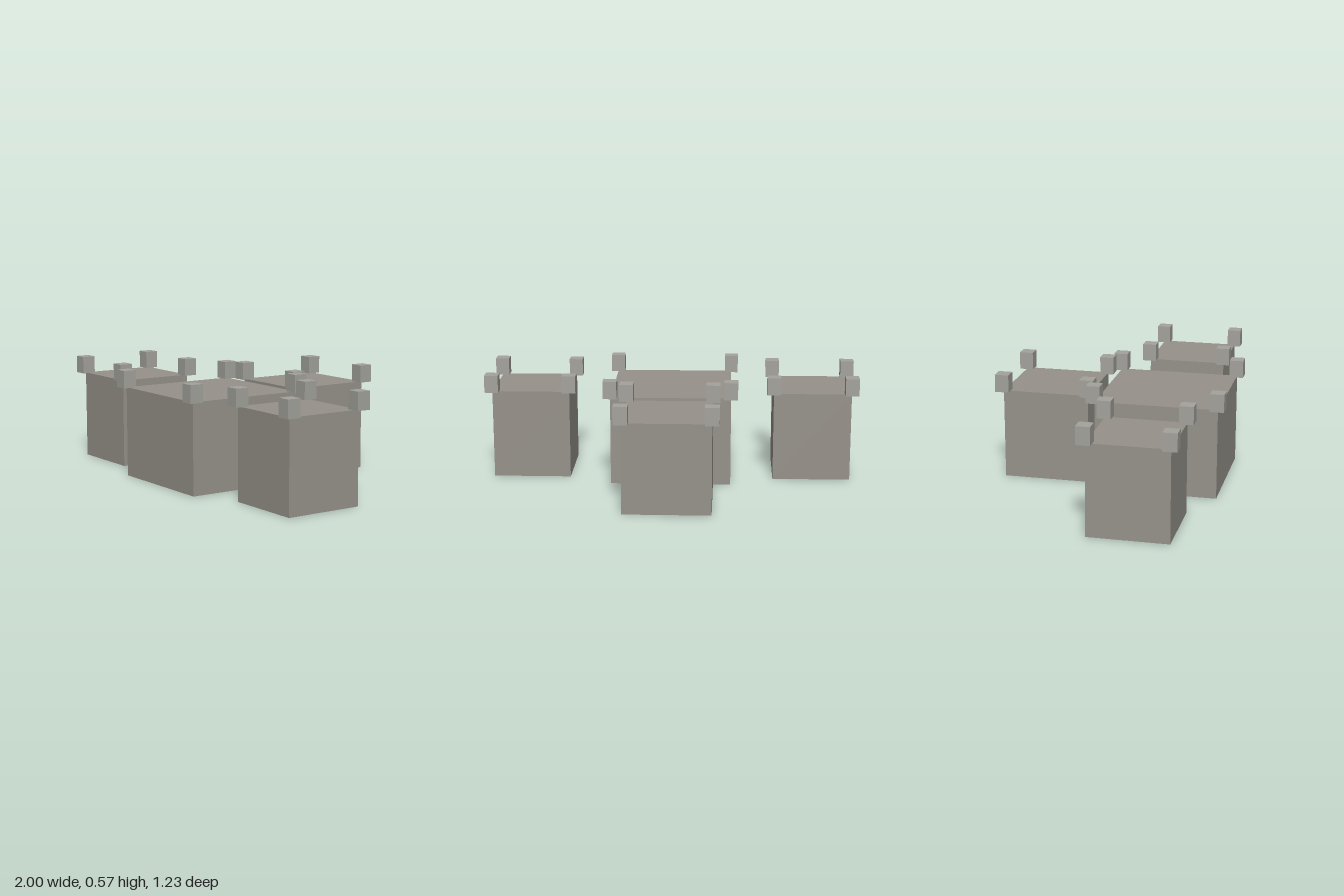
import * as THREE from 'three';

const HEIGHT = 0.475; // block height
const POST = 0.073;   // corner post width
const POST_H = 0.093; // corner post height

const blockMaterial = new THREE.MeshStandardMaterial({ color: 0x96928a });
const postMaterial = new THREE.MeshStandardMaterial({ color: 0xa3a29b });

function box(name, w, h, d, x, y, z, material) {
  const mesh = new THREE.Mesh(new THREE.BoxGeometry(w, h, d), material);
  mesh.name = name;
  mesh.position.set(x, y + h / 2, z);
  return mesh;
}

// A square block with a small post centred on each top corner
function tower(name, size, x, z) {
  const group = new THREE.Group();
  group.name = name;
  group.position.set(x, 0, z);
  group.add(box('block', size, HEIGHT, size, 0, 0, 0, blockMaterial));
  for (const sx of [-1, 1]) {
    for (const sz of [-1, 1]) {
      group.add(box('cornerPost', POST, POST_H, POST, sx * size / 2, HEIGHT, sz * size / 2, postMaterial));
    }
  }
  return group;
}

export function createModel() {
  const model = new THREE.Group();
  model.name = 'blockCluster';
  model.add(tower('centralBlock', 0.64, 0, 0.256));
  model.add(tower('rearBlock', 0.455, 0, -0.349));
  model.add(tower('leftBlock', 0.415, 0.756, 0.256));
  model.add(tower('rightBlock', 0.415, -0.756, 0.256));
  return model;
}
